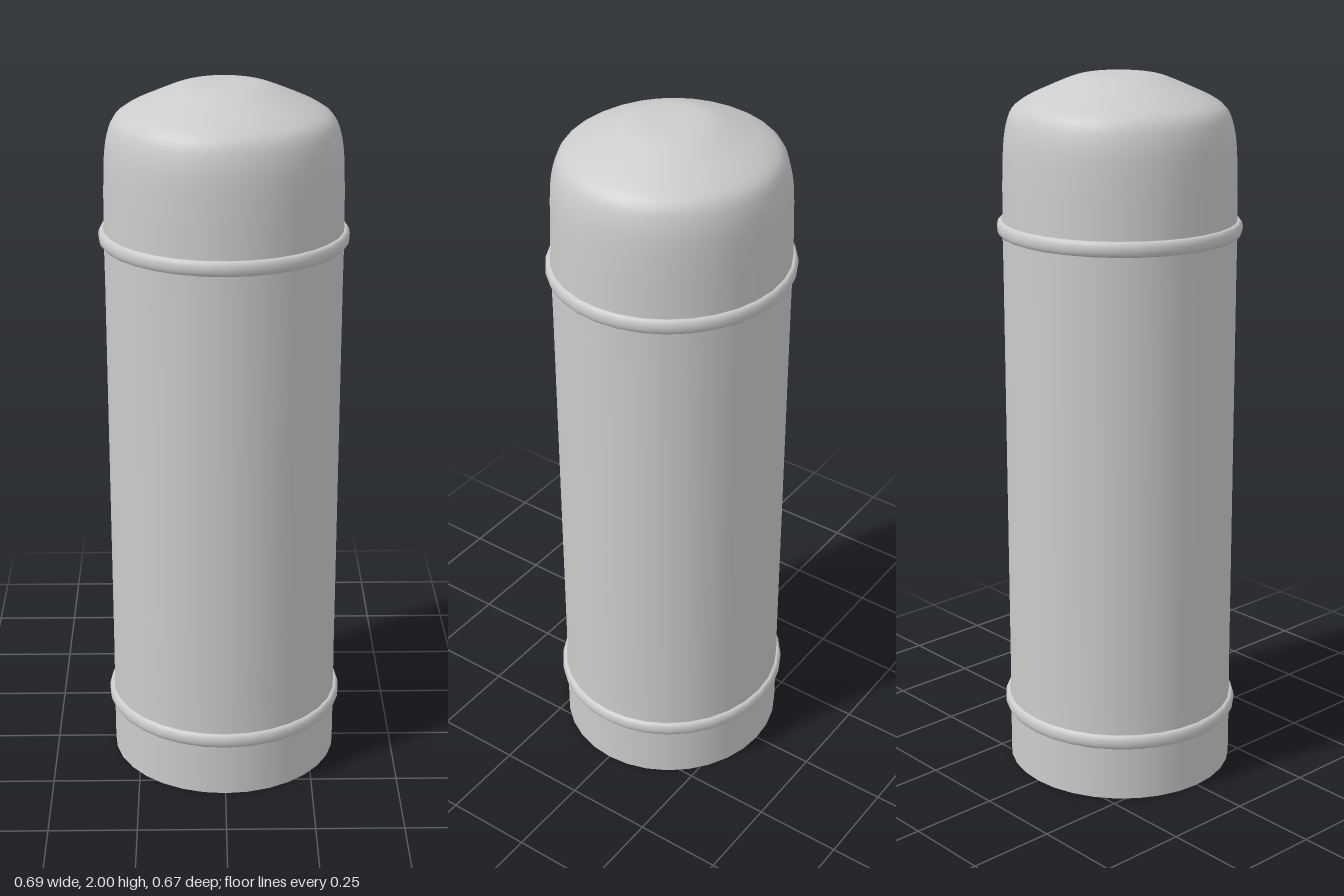
import * as THREE from 'three';

const SIDES = 32;
const DEPTH = 0.975; // the cross-section is slightly narrower front to back

export function createModel() {
  const group = new THREE.Group();
  // The shell is thin and open at the foot, so both faces show
  const material = new THREE.MeshStandardMaterial({ color: 0xcccccc, side: THREE.DoubleSide });

  // Revolves a bottom-to-top profile of [radius, height] pairs
  const turned = (name, profile) => {
    const points = profile.map(([r, y]) => new THREE.Vector2(r, y));
    const mesh = new THREE.Mesh(new THREE.LatheGeometry(points, SIDES), material);
    mesh.name = name;
    mesh.scale.z = DEPTH;
    group.add(mesh);
  };

  // Open skirt at the foot
  turned('baseSkirt', [[0.328, 0], [0.328, 0.178]]);

  // Long straight body
  turned('body', [[0.328, 0.178], [0.327, 0.3], [0.327, 1.45], [0.328, 1.584]]);

  // Domed lid with a small flat crown
  const dome = new THREE.SplineCurve([
    [0.326, 1.7], [0.322, 1.8], [0.313, 1.86], [0.295, 1.905], [0.258, 1.933],
    [0.2, 1.96], [0.14, 1.985], [0.1, 1.996], [0.05, 2], [0, 2],
  ].map(([r, y]) => new THREE.Vector2(r, y)));
  turned('lid', [[0.328, 1.584], ...dome.getPoints(27).map((p) => [Math.max(p.x, 0), Math.min(p.y, 2)])]);

  // Rounded raised bands, closed on the inside of the wall
  for (const [name, y] of [['lowerBand', 0.177], ['upperBand', 1.584]]) {
    const profile = [[0.324, y - 0.021]];
    for (let i = 0; i <= 8; i++) {
      const a = -Math.PI / 2 + (i / 8) * Math.PI;
      profile.push([0.331 + 0.0115 * Math.cos(a), y + 0.021 * Math.sin(a)]);
    }
    profile.push([0.324, y + 0.021], [0.324, y - 0.021]);
    turned(name, profile);
  }

  return group;
}
